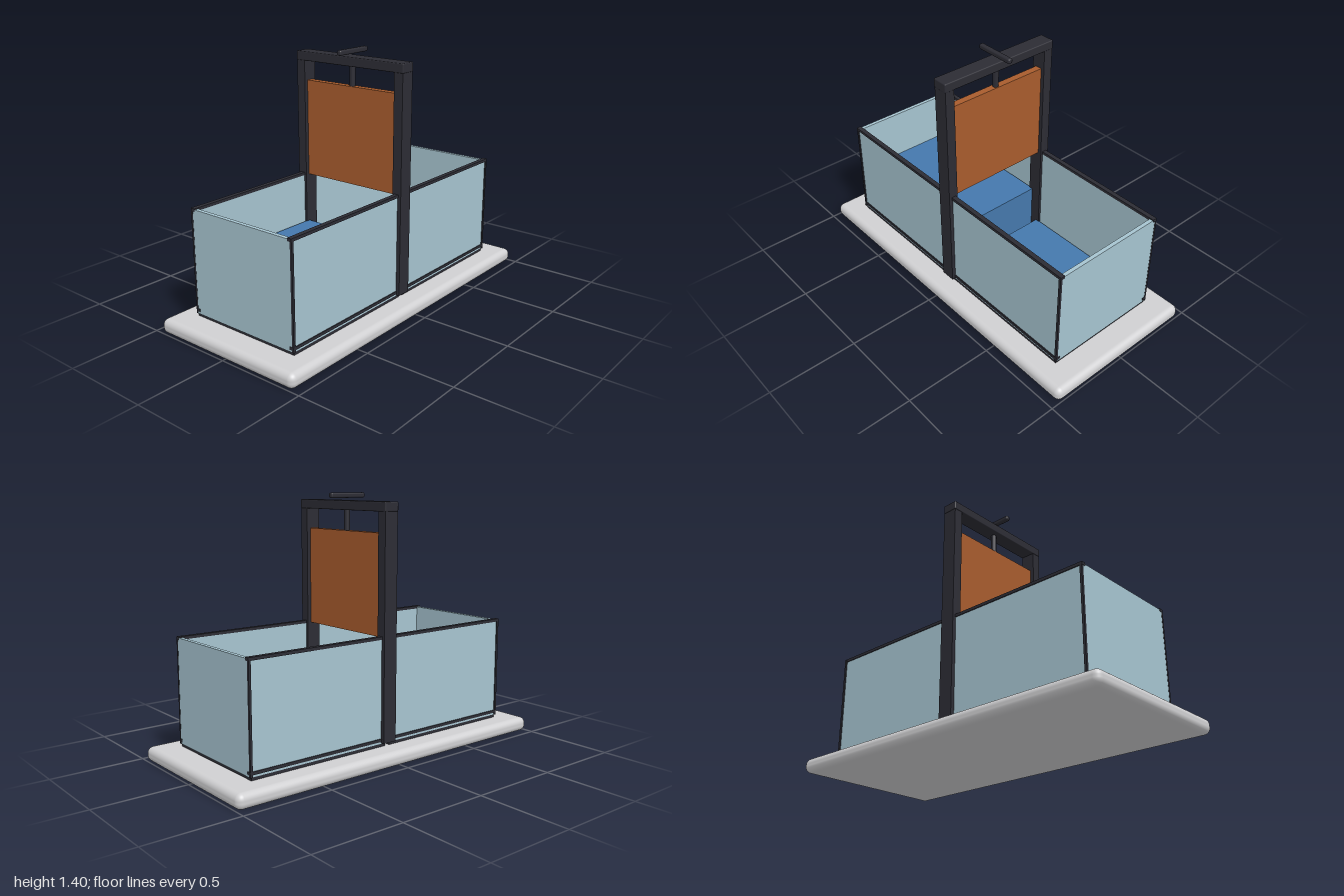
import * as THREE from 'three';
import { RoundedBoxGeometry } from 'three/addons/geometries/RoundedBoxGeometry.js';

const material = (name, color) => {
  const m = new THREE.MeshStandardMaterial({ color });
  m.name = name;
  return m;
};

export function createModel() {
  const stone = material('pale grey base', 0xd0d0d2);
  const glass = material('pale blue glass', 0xa6c4d0);
  const frame = material('dark frame', 0x2c2c34);
  const rust = material('rust orange gate', 0xa85c2d);
  const water = material('blue water', 0x4578ac);

  const model = new THREE.Group();
  model.name = 'sluiceTank';

  const add = (parent, name, geometry, mat, x = 0, y = 0, z = 0) => {
    const mesh = new THREE.Mesh(geometry, mat);
    mesh.name = name;
    mesh.position.set(x, y, z);
    parent.add(mesh);
    return mesh;
  };
  // Box given by its lower and upper limits on each axis
  const box = (parent, name, mat, [x0, x1], [y0, y1], [z0, z1]) =>
    add(parent, name, new THREE.BoxGeometry(Math.abs(x1 - x0), y1 - y0, Math.abs(z1 - z0)), mat,
      (x0 + x1) / 2, (y0 + y1) / 2, (z0 + z1) / 2);

  // Base slab
  add(model, 'base', new RoundedBoxGeometry(2, 0.08, 0.92, 5, 0.034), stone, 0, 0.04, 0);

  // Two chambers, with a narrow gap between them for the gate
  for (const s of [-1, 1]) {
    const chamber = new THREE.Group();
    chamber.name = s < 0 ? 'fullChamber' : 'lowChamber';
    model.add(chamber);

    box(chamber, 'floor', frame, [s * 0.015, s * 0.85], [0.08, 0.096], [-0.335, 0.335]);
    box(chamber, 'endWall', glass, [s * 0.835, s * 0.857], [0.096, 0.665], [-0.33, 0.33]);
    const level = s < 0 ? 0.38 : 0.17;
    box(chamber, 'water', water, [s * 0.02, s * 0.836], [0.097, level], [-0.308, 0.308]);

    for (const t of [-1, 1]) {
      box(chamber, 'sideWall', glass, [s * 0.015, s * 0.846], [0.096, 0.66], [t * 0.317, t * 0.336]);
      box(chamber, 'topRail', frame, [s * 0.015, s * 0.859], [0.655, 0.671], [t * 0.315, t * 0.341]);
      box(chamber, 'bottomRail', frame, [s * 0.015, s * 0.859], [0.108, 0.124], [t * 0.315, t * 0.341]);
      box(chamber, 'cornerStrip', frame, [s * 0.845, s * 0.858], [0.096, 0.67], [t * 0.33, t * 0.342]);
    }
  }

  // Gate frame: two posts and a crossbeam
  const gateFrame = new THREE.Group();
  gateFrame.name = 'gateFrame';
  model.add(gateFrame);
  for (const t of [-1, 1]) {
    box(gateFrame, 'post', frame, [-0.042, 0.042], [0.1, 1.315], [t * 0.303, t * 0.357]);
  }
  add(gateFrame, 'crossbeam', new RoundedBoxGeometry(0.09, 0.05, 0.72, 2, 0.006), frame, 0, 1.335, 0);

  // Raised gate with its lifting rod and handle
  const gate = new THREE.Group();
  gate.name = 'gate';
  model.add(gate);
  box(gate, 'gatePanel', rust, [-0.02, 0.02], [0.66, 1.2], [-0.304, 0.304]);
  add(gate, 'liftingRod', new THREE.CylinderGeometry(0.016, 0.016, 0.13, 16), frame, 0, 1.26, 0);
  const handle = add(gate, 'handle', new RoundedBoxGeometry(0.23, 0.028, 0.028, 3, 0.009), frame, 0, 1.387, 0);
  handle.castShadow = false;

  return model;
}
